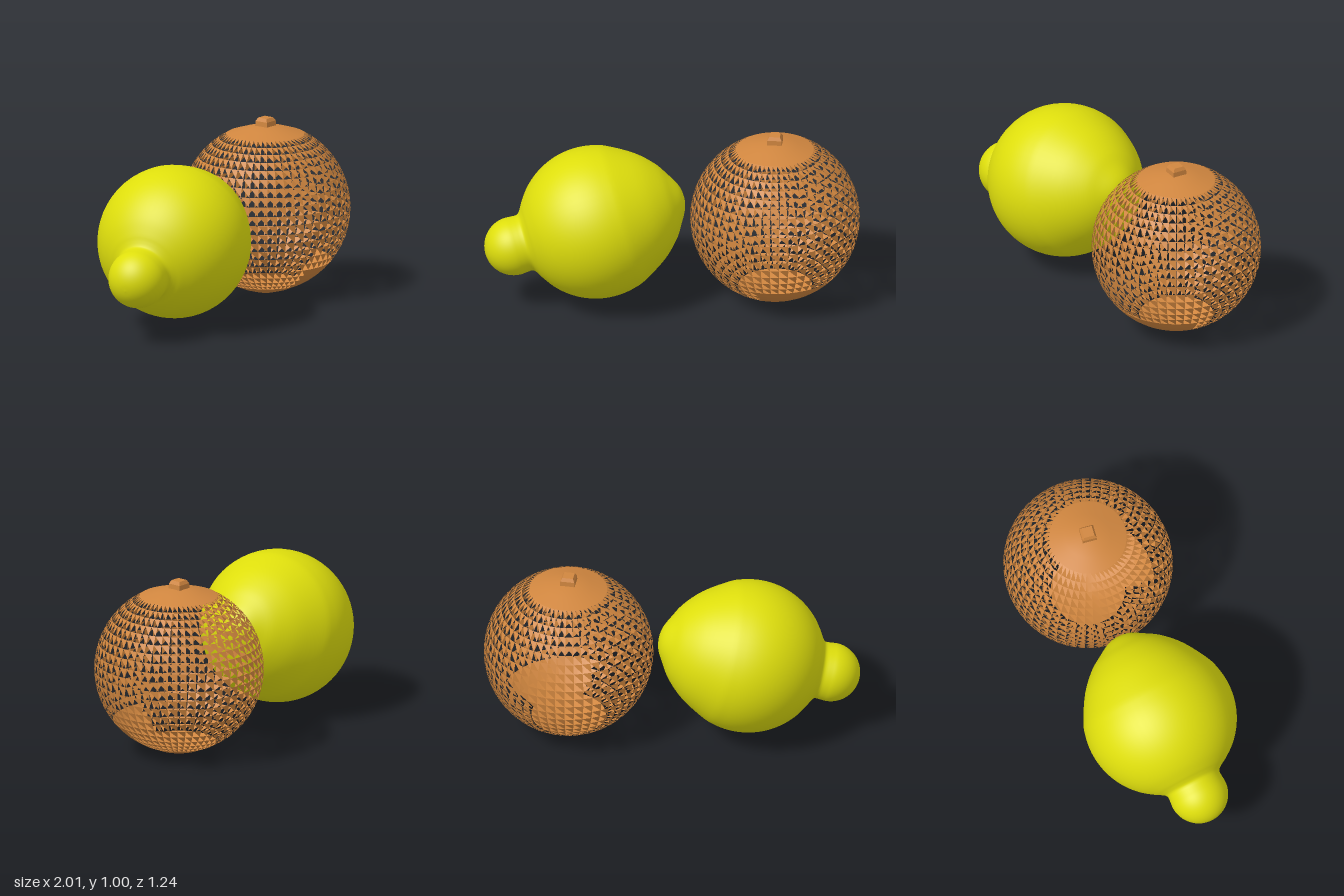
import * as THREE from 'three';

const V2 = (p) => new THREE.Vector2(p[0], p[1]);

// Smooth lathe through a few [radius, height] points, listed bottom to top
function turned(points, samples, sides) {
  const pts = new THREE.SplineCurve(points.map(V2)).getPoints(samples);
  pts.forEach((p) => { p.x = Math.max(p.x, 0); });
  pts[0].x = 0;
  pts[pts.length - 1].x = 0;
  return new THREE.LatheGeometry(pts, sides);
}

// Open lattice: every cell keeps its upper triangle, and both in the solid patch
function latticeGeometry(radius, sides, rows, top, bottom) {
  const at = (i, j) => {
    const theta = THREE.MathUtils.degToRad(top + ((bottom - top) * j) / rows);
    const phi = (i / sides) * Math.PI * 2;
    const r = radius * Math.sin(theta);
    return [r * Math.sin(phi), radius * Math.cos(theta), r * Math.cos(phi)];
  };
  const pos = [];
  for (let j = 0; j < rows; j++) {
    for (let i = 0; i < sides; i++) {
      const a = at(i, j), b = at(i + 1, j), c = at(i, j + 1), d = at(i + 1, j + 1);
      pos.push(...a, ...d, ...b);
      if (j >= 16 && i < sides / 4) pos.push(...a, ...c, ...d);
    }
  }
  const g = new THREE.BufferGeometry();
  g.setAttribute('position', new THREE.Float32BufferAttribute(pos, 3));
  g.computeVertexNormals();
  return g;
}

export function createModel() {
  const model = new THREE.Group();
  model.name = 'citrusFruits';

  const yellow = new THREE.MeshStandardMaterial({ color: 0xdede0c });
  yellow.name = 'lemonYellow';
  const orange = new THREE.MeshStandardMaterial({ color: 0xd0863f, side: THREE.DoubleSide });
  orange.name = 'orangePeel';

  const add = (parent, name, geometry, material) => {
    const m = new THREE.Mesh(geometry, material);
    m.name = name;
    parent.add(m);
    return m;
  };

  // Lemon: round nub, pinched neck, round body and blunt tip on a tilted axis
  const profile = [];
  for (let k = 0; k <= 8; k++) {
    const a = (k / 8) * 1.75;
    profile.push([0.165 * Math.sin(a), -0.477 - 0.165 * Math.cos(a)]);
  }
  profile.push([0.163, -0.41], [0.19, -0.387]);
  for (let k = 0; k <= 8; k++) {
    const a = 0.55 + (k / 8) * 1.45;
    profile.push([0.43 * Math.sin(a), -0.43 * Math.cos(a)]);
  }
  profile.push([0.31, 0.315], [0.22, 0.41], [0.145, 0.46], [0.08, 0.498], [0.035, 0.512], [0, 0.515]);
  const lemon = add(model, 'lemon', turned(profile, 90, 64), yellow);
  lemon.position.set(-0.425, 0.488, 0.187);
  lemon.quaternion.setFromUnitVectors(
    new THREE.Vector3(0, 1, 0),
    new THREE.Vector3(0.88, 0.25, -0.39).normalize()
  );

  // Orange: perforated peel between two closed caps
  const fruit = new THREE.Group();
  fruit.name = 'orange';
  fruit.position.set(0.523, 0, -0.15);
  model.add(fruit);

  const R = 0.475, TOP = 27, BOTTOM = 154, CY = 0.49;
  const edge = (deg) => {
    const t = THREE.MathUtils.degToRad(deg);
    return [R * Math.sin(t), CY + R * Math.cos(t)];
  };
  const peel = add(fruit, 'peelLattice', latticeGeometry(R, 56, 20, TOP, BOTTOM), orange);
  peel.position.y = CY;

  const topCap = [edge(TOP), [0.13, 0.94], [0.06, 0.957], [0, 0.96]].map(V2);
  add(fruit, 'topCap', new THREE.LatheGeometry(topCap, 56), orange);
  const bottomCap = [[0, 0], [0.06, 0.01], [0.13, 0.03], edge(BOTTOM)].map(V2);
  add(fruit, 'bottomCap', new THREE.LatheGeometry(bottomCap, 56), orange);

  // Stem: small four-sided stub with a bevelled top
  const stemProfile = [[0.06, 0.945], [0.057, 0.985], [0.042, 1.004], [0, 1.004]].map(V2);
  const stemGeometry = new THREE.LatheGeometry(stemProfile, 4).toNonIndexed();
  stemGeometry.computeVertexNormals();
  const stem = add(fruit, 'stem', stemGeometry, orange);
  stem.rotation.y = Math.PI / 4 + 0.2;

  return model;
}
